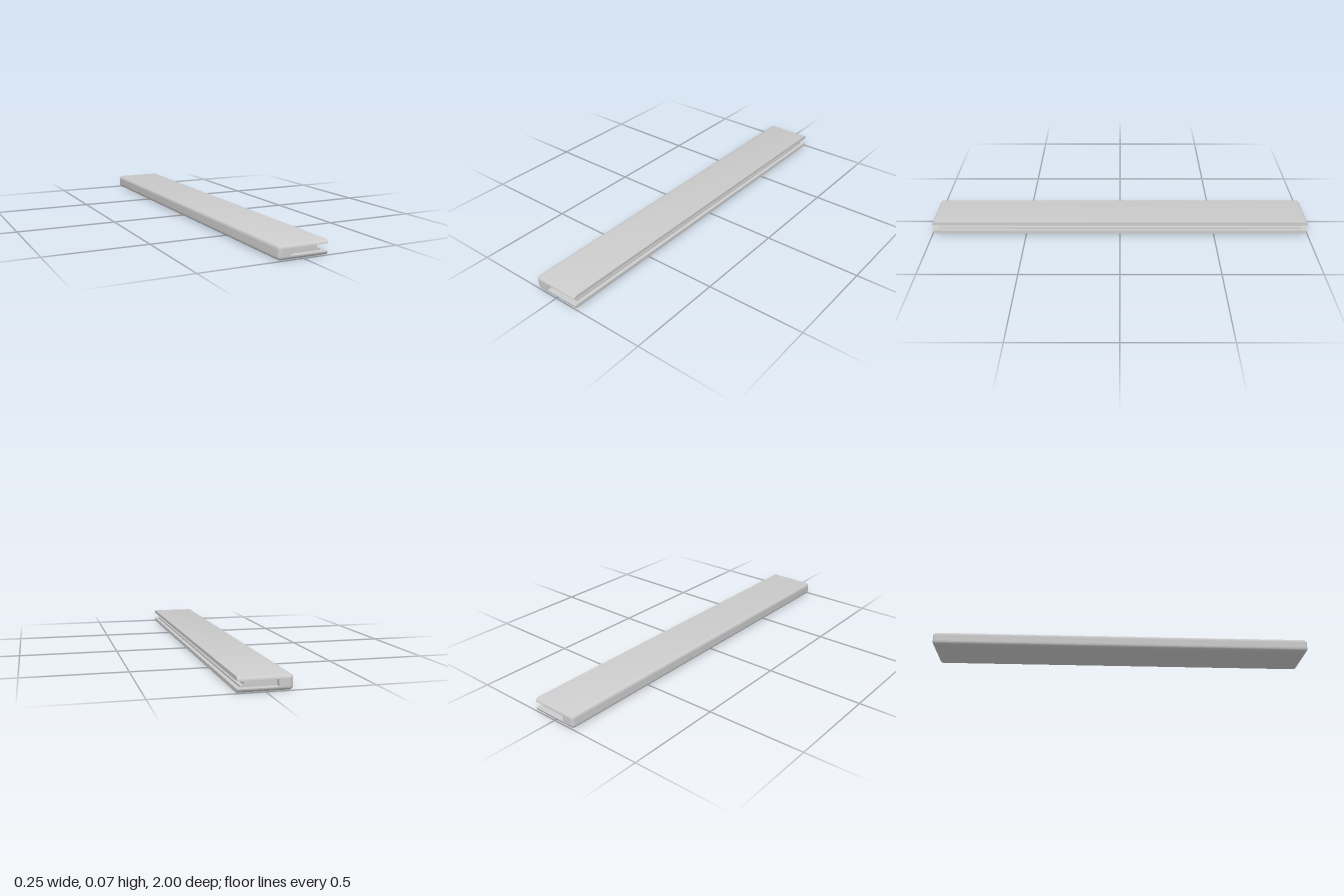
import * as THREE from 'three';
import { toCreasedNormals } from 'three/addons/utils/BufferGeometryUtils.js';

const HALF_W = 0.124, HEIGHT = 0.07, R = 0.018, STEPS = 6;
const SLOT_X = -0.059, CORE_Z = 0.97, CORE_X = 0.105, GROOVE_X = 0.088;

// Plan outline [x, z]: round corners on the -x side, square on the +x side
function outline(rho) {
  const cx = -HALF_W + R, cz = 1 - R;
  const pts = [[HALF_W, cz + rho]];
  for (const [side, start] of [[1, Math.PI / 2], [-1, Math.PI]]) {
    for (let i = 0; i <= STEPS; i++) {
      const a = start + (i / STEPS) * Math.PI / 2;
      pts.push([cx + rho * Math.cos(a), side * cz + rho * Math.sin(a)]);
    }
  }
  pts.push([HALF_W, -cz - rho]);
  return pts;
}

// Plate with its lower rim rounded on three sides, lofted upwards
function plateGeometry() {
  const pos = [], idx = [], n = outline(R).length;
  for (let k = 0; k <= STEPS; k++) {
    const t = (k / STEPS) * Math.PI / 2;
    for (const [x, z] of outline(R * Math.sin(t))) pos.push(x, R - R * Math.cos(t), z);
  }
  for (let k = 0; k < STEPS; k++) {
    for (let i = 0; i < n; i++) {
      const j = (i + 1) % n, a = k * n + i, b = k * n + j;
      idx.push(a, b + n, b, a, a + n, b + n);
    }
  }
  const top = STEPS * n;
  for (let i = 1; i < n - 1; i++) {
    idx.push(0, i, i + 1, top, top + i + 1, top + i);
  }
  const g = new THREE.BufferGeometry();
  g.setAttribute('position', new THREE.Float32BufferAttribute(pos, 3));
  g.setIndex(idx);
  return toCreasedNormals(g, 0.6);
}

// Middle layer: full-length spine plus a shorter core reaching to coreX
function layerGeometry(coreX, depth) {
  const pts = outline(R).slice(1, -1);
  pts.push([SLOT_X, -1], [SLOT_X, -CORE_Z], [coreX, -CORE_Z],
    [coreX, CORE_Z], [SLOT_X, CORE_Z], [SLOT_X, 1]);
  const shape = new THREE.Shape(pts.map(([x, z]) => new THREE.Vector2(x, -z)));
  const g = new THREE.ExtrudeGeometry(shape, { depth, bevelEnabled: false });
  g.rotateX(-Math.PI / 2);
  return toCreasedNormals(g, 0.6);
}

export function createModel() {
  const group = new THREE.Group();
  const material = new THREE.MeshStandardMaterial({ color: 0xcccccc });
  const add = (name, geometry, y) => {
    const mesh = new THREE.Mesh(geometry, material);
    mesh.name = name;
    mesh.position.y = y;
    group.add(mesh);
    return mesh;
  };

  // Outer plates
  const plate = plateGeometry();
  add('bottomPlate', plate, 0);
  add('topPlate', plate, HEIGHT).rotation.x = Math.PI;

  // Spine and core, with a groove along the open side
  const g0 = 0.027, g1 = HEIGHT - g0;
  add('lowerLip', layerGeometry(CORE_X, g0 - R), R);
  add('grooveLayer', layerGeometry(GROOVE_X, g1 - g0), g0);
  add('upperLip', layerGeometry(CORE_X, g0 - R), g1);
  return group;
}
